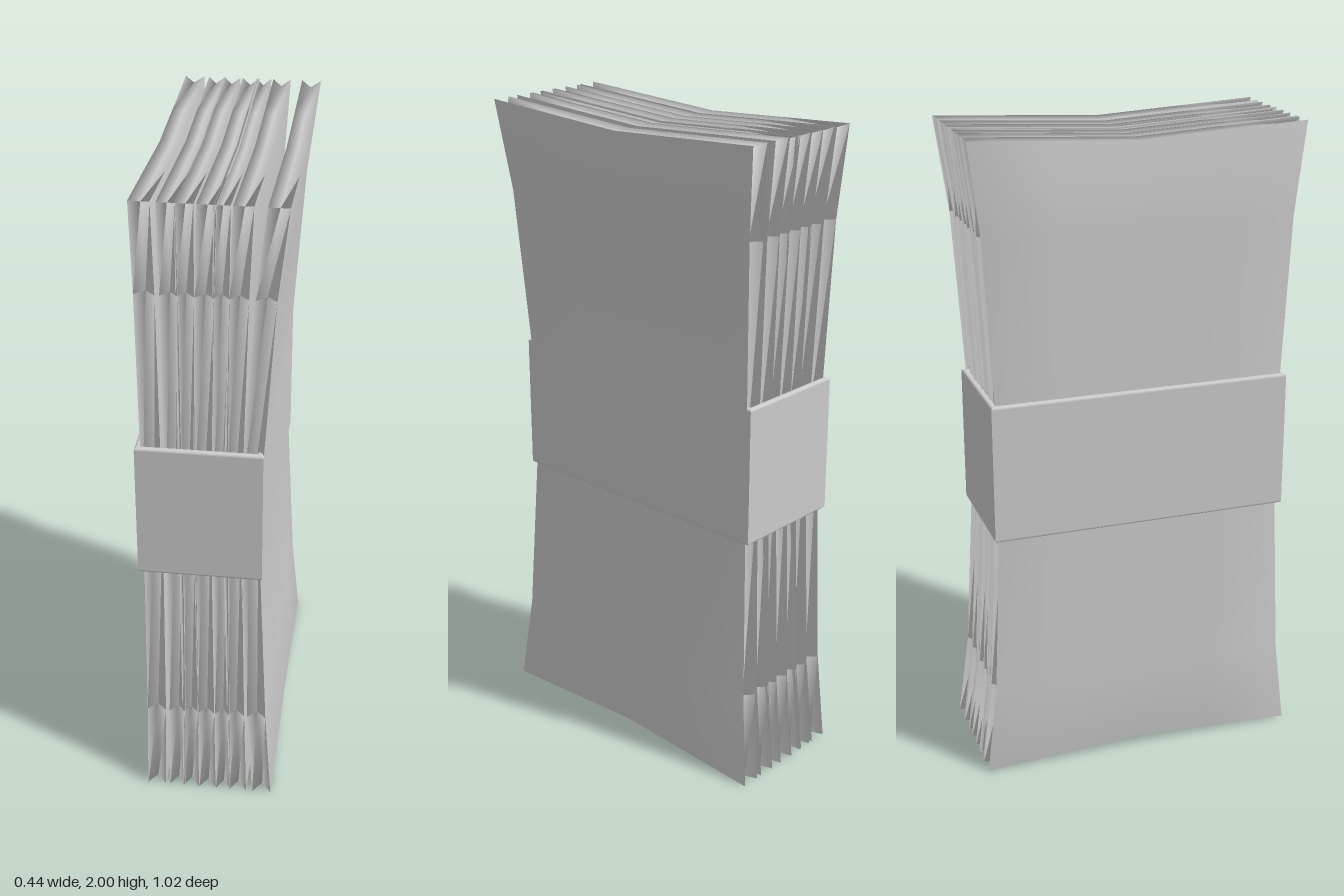
import * as THREE from 'three';
import { mergeVertices } from 'three/addons/utils/BufferGeometryUtils.js';

const paper = new THREE.MeshStandardMaterial({ color: 0xcccccc });
paper.name = 'pale grey';

const rows = [0, 0.28, 1, 1.72, 2];
const halfDepth = [0.508, 0.475, 0.44, 0.475, 0.508];

// A sheet whose ends fan out; its rim is grooved and its corners flare.
function sheet(bottom, middle, top, thickness) {
  let geo = new THREE.BoxGeometry(2, 4, 2, 2, 4, 4);
  geo.deleteAttribute('normal');
  geo.deleteAttribute('uv');
  geo = mergeVertices(geo);
  const pos = geo.attributes.position;
  for (let i = 0; i < pos.count; i++) {
    const u = Math.round(pos.getX(i)); // across the thickness, -1..1
    const row = Math.round(pos.getY(i)) + 2;
    const w = pos.getZ(i); // along the depth, -1..1
    const side = Math.sign(row - 2);
    const fan = Math.pow(Math.abs(rows[row] - 1), 1.6);
    const x = middle + ((side > 0 ? top : bottom) - middle) * fan + u * thickness / 2;
    let y = rows[row];
    let z = w * halfDepth[row];
    if (row === 0 || row === 4) {
      y -= side * 0.028 * (1 - Math.abs(w)); // ends dip in the middle
      if (u === 0) y -= side * 0.012;
    }
    if (u === 0 && Math.abs(w) > 0.99) z -= Math.sign(w) * 0.028; // rim groove
    pos.setXYZ(i, x, y, z);
  }
  geo.computeVertexNormals();
  return new THREE.Mesh(geo, paper);
}

function rectangle(target, x0, x1, z) {
  target.moveTo(x0, -z);
  target.lineTo(x1, -z);
  target.lineTo(x1, z);
  target.lineTo(x0, z);
  target.closePath();
  return target;
}

// Closed strap around the waist of the bundle
function strap() {
  const bevel = 0.007;
  const shape = rectangle(new THREE.Shape(), -0.22 + bevel, 0.15 - bevel, 0.465 - bevel);
  shape.holes.push(rectangle(new THREE.Path(), -0.205, 0.138, 0.452));
  const geo = new THREE.ExtrudeGeometry(shape, {
    depth: 0.43 - 2 * bevel, bevelEnabled: true,
    bevelThickness: bevel, bevelSize: bevel, bevelSegments: 3,
  });
  geo.rotateX(-Math.PI / 2);
  geo.translate(0, 0.8 + bevel, 0);
  return new THREE.Mesh(geo, paper);
}

export function createModel() {
  const group = new THREE.Group();
  group.name = 'strapped bundle';

  // Centre of each sheet at the bottom, middle and top, then its thickness
  const sheets = [
    [-0.175, -0.175, -0.175, 0.058],
    [-0.108, -0.112, -0.106, 0.05],
    [-0.065, -0.074, -0.058, 0.05],
    [-0.012, -0.03, 0.0, 0.052],
    [0.038, 0.022, 0.04, 0.045],
    [0.085, 0.058, 0.096, 0.054],
    [0.161, 0.106, 0.187, 0.058],
  ];
  sheets.forEach((s, i) => {
    const mesh = sheet(...s);
    mesh.name = `sheet${i + 1}`;
    group.add(mesh);
  });

  const band = strap();
  band.name = 'strap';
  group.add(band);
  return group;
}
